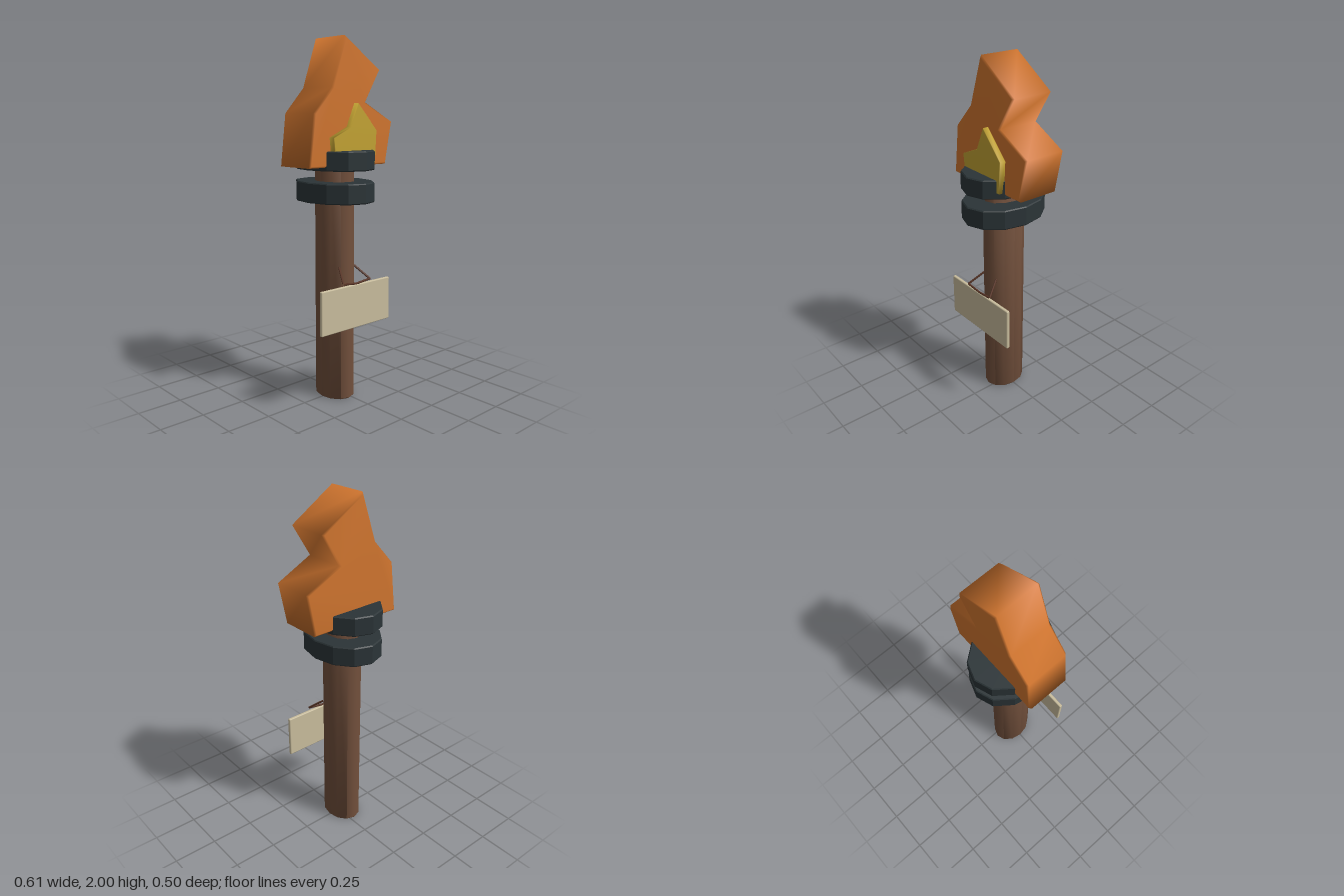
import * as THREE from 'three';
import { mergeVertices, toCreasedNormals } from 'three/addons/utils/BufferGeometryUtils.js';
import { RoundedBoxGeometry } from 'three/addons/geometries/RoundedBoxGeometry.js';

const CX = -0.025; // axis of the pole
const SQUASH = 0.77; // pole and rings are narrower in x than in z

function add(parent, name, geometry, color, flatShading = false) {
  const mesh = new THREE.Mesh(geometry, new THREE.MeshStandardMaterial({ color, flatShading }));
  mesh.name = name;
  parent.add(mesh);
  return mesh;
}

// Twelve-sided bar with a small chamfer at both ends
function bar(radius, y0, y1, bevel) {
  const profile = [
    [0, y0], [radius - bevel, y0], [radius, y0 + bevel],
    [radius, y1 - bevel], [radius - bevel, y1], [0, y1],
  ].map(([x, y]) => new THREE.Vector2(x, y));
  const g = new THREE.LatheGeometry(profile, 12);
  g.scale(SQUASH, 1, 1);
  g.translate(CX, 0, 0);
  return toCreasedNormals(g, 0.72);
}

// Extruded outline with a chamfer and normals blended over all faces
function softSlab(points, z0, z1, bevel) {
  const shape = new THREE.Shape(points.map(([x, y]) => new THREE.Vector2(x, y)));
  const g = new THREE.ExtrudeGeometry(shape, {
    depth: z1 - z0 - 2 * bevel, bevelEnabled: true, bevelThickness: bevel,
    bevelSize: bevel, bevelOffset: -bevel, bevelSegments: 1,
  });
  g.translate(0, 0, z0 + bevel);
  g.deleteAttribute('uv');
  g.deleteAttribute('normal');
  const merged = mergeVertices(g, 1e-4);
  merged.computeVertexNormals();
  return merged;
}

export function createModel() {
  const torch = new THREE.Group();
  torch.name = 'torch';

  add(torch, 'pole', bar(0.125, 0, 1.36, 0.006), 0x72503c);

  // Iron collars
  add(torch, 'lowerRing', bar(0.25, 1.125, 1.235, 0.006), 0x2b3437, true);
  add(torch, 'upperRing', bar(0.25, 1.3, 1.405, 0.006), 0x2b3437, true);

  // Flame, with a smaller tongue on its front
  add(torch, 'flame', softSlab([
    [-0.305, 1.32], [0.255, 1.32], [0.302, 1.555], [0.095, 1.66],
    [0.202, 1.835], [-0.056, 2.002], [-0.148, 1.735], [-0.272, 1.6],
  ], -0.125, 0.125, 0.01), 0xd0752f);
  add(torch, 'innerFlame', softSlab([
    [-0.155, 1.335], [0.133, 1.335], [0.143, 1.51], [0.005, 1.655],
    [-0.05, 1.53], [-0.171, 1.475],
  ], 0.122, 0.16, 0.003), 0xc2a233);

  // Hanging sign
  const board = add(torch, 'signBoard', new RoundedBoxGeometry(0.51, 0.245, 0.02, 1, 0.006), 0xc9bd9d);
  board.position.set(CX, 0.557, 0.175);

  // Cord from the pole down to the board
  const cord = new THREE.Group();
  cord.name = 'signCord';
  torch.add(cord);
  const knots = [
    [-0.08, 0.765, 0.1], [-0.125, 0.695, 0.183], [CX, 0.682, 0.178],
    [0.075, 0.695, 0.183], [0.03, 0.765, 0.1],
  ].map((p) => new THREE.Vector3(...p));
  for (let i = 0; i < knots.length - 1; i++) {
    const line = new THREE.LineCurve3(knots[i], knots[i + 1]);
    add(cord, 'cordSegment', new THREE.TubeGeometry(line, 1, 0.006, 6), 0x5a3526);
  }

  return torch;
}
